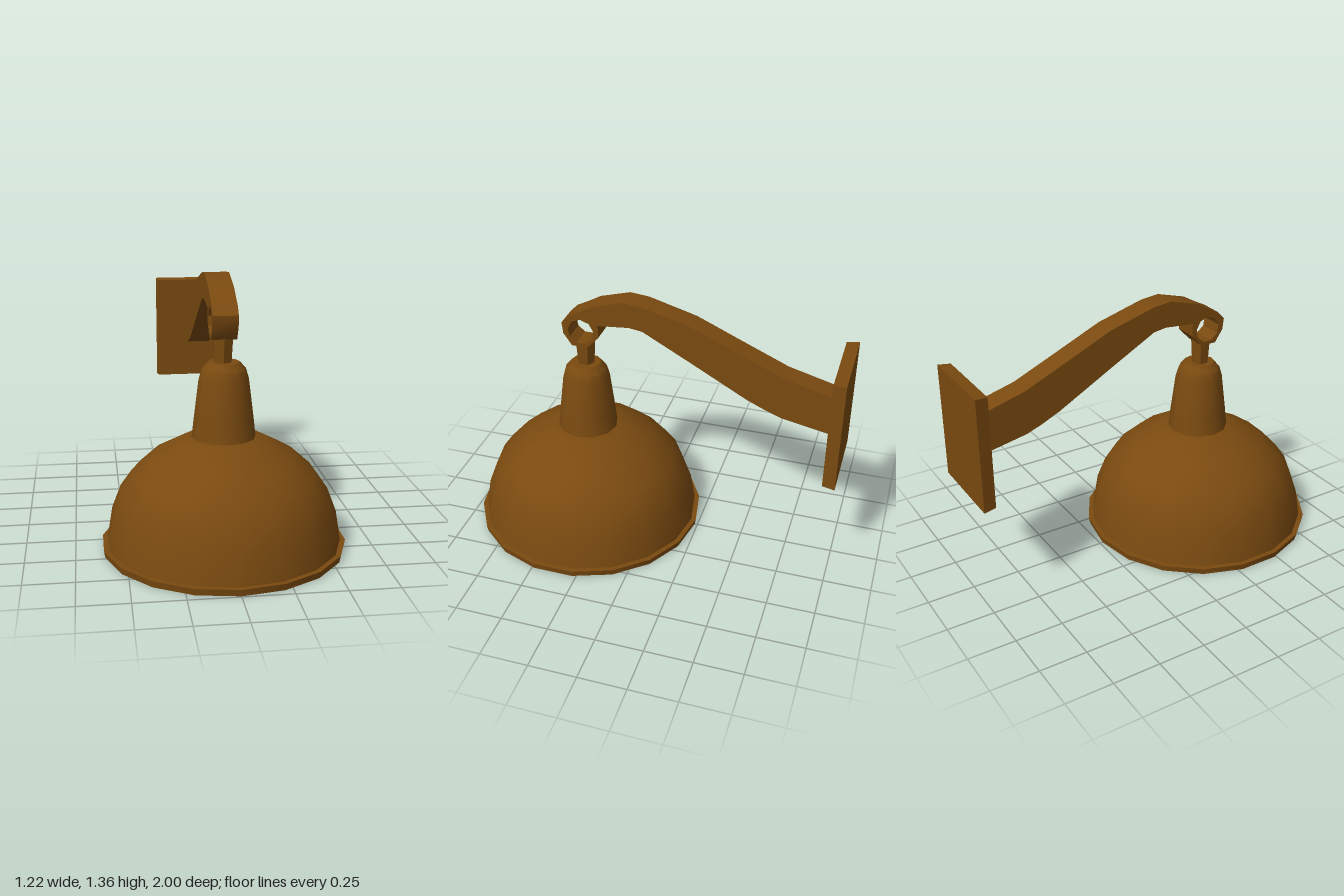
import * as THREE from 'three';
import { toCreasedNormals } from 'three/addons/utils/BufferGeometryUtils.js';

const LAMP_Z = 0.38;

export function createModel() {
  const group = new THREE.Group();
  const brown = new THREE.MeshStandardMaterial({ color: 0x7a4a10, side: THREE.DoubleSide });
  const grey = new THREE.MeshStandardMaterial({ color: 0xcccccc });
  const points = (list) => list.map(([x, y]) => new THREE.Vector2(x, y));

  const add = (name, geometry, material = brown) => {
    const mesh = new THREE.Mesh(geometry, material);
    mesh.name = name;
    group.add(mesh);
    return mesh;
  };
  const lathe = (name, profile, sides, material = brown, crease = 0.6) => {
    const geometry = new THREE.LatheGeometry(points(profile), sides);
    add(name, toCreasedNormals(geometry, crease), material).position.z = LAMP_Z;
  };

  // Wall plate, its front face a little smaller than its back
  const plate = new THREE.BoxGeometry(0.45, 0.6, 0.065);
  const pos = plate.attributes.position;
  for (let i = 0; i < pos.count; i++) {
    if (pos.getZ(i) > 0) pos.setXY(i, pos.getX(i) * 0.96, pos.getY(i) * 0.98);
  }
  plate.computeVertexNormals();
  add('wallPlate', plate).position.set(-0.005, 0.875, -0.9675);

  // Curved arm ending in a ring, drawn in side profile as (z, y)
  const armShape = new THREE.Shape(points([
    [-0.94, 0.79], [-0.68, 0.84], [-0.6, 0.87], [-0.5, 0.915], [-0.2, 1.08],
    [0.05, 1.215], [0.12, 1.225], [0.285, 1.21],
    [0.285, 1.14], [0.345, 1.075], [0.43, 1.075], [0.475, 1.14], [0.482, 1.2],
    [0.44, 1.245], [0.38, 1.275], [0.31, 1.315], [0.15, 1.36], [0.05, 1.35],
    [-0.2, 1.28], [-0.45, 1.17], [-0.68, 1.07], [-0.94, 1.0],
  ]));
  const hole = [];
  for (let i = 0; i < 9; i++) {
    const a = -i / 9 * Math.PI * 2 + Math.PI / 2;
    hole.push([LAMP_Z + 0.07 * Math.cos(a), 1.16 + 0.07 * Math.sin(a)]);
  }
  armShape.holes.push(new THREE.Path(points(hole)));
  const arm = new THREE.ExtrudeGeometry(armShape, { depth: 0.126, bevelEnabled: false });
  arm.translate(0, 0, -0.063).rotateY(-Math.PI / 2);
  add('armWithRing', toCreasedNormals(arm, 0.6)).position.x = -0.005;

  // Stem between the ring and the socket cover
  const stem = new THREE.CylinderGeometry(0.055, 0.045, 0.15, 6);
  add('stem', toCreasedNormals(stem, 0.6)).position.set(-0.005, 1.015, LAMP_Z);

  // Tapered socket cover
  lathe('socketCover', [
    [0.162, 0.565], [0.15, 0.67], [0.125, 0.87], [0.11, 0.92], [0.08, 0.955], [0, 0.955],
  ], 12);

  // Domed shade
  lathe('shade', [
    [0.598, 0.01], [0.594, 0.035], [0.568, 0.19], [0.522, 0.31], [0.465, 0.39],
    [0.36, 0.485], [0.2, 0.57], [0.12, 0.582], [0, 0.582],
  ], 18);

  // Flat rim lip around the shade opening
  lathe('shadeRim', [
    [0.585, 0.034], [0.59, 0], [0.614, 0], [0.62, 0.034], [0.585, 0.034],
  ], 18);

  // Bulb with a neck reaching up into the socket
  const bulb = [];
  for (let i = 0; i <= 10; i++) {
    const a = i / 10 * 2.4;
    bulb.push([0.18 * Math.sin(a), 0.345 - 0.18 * Math.cos(a)]);
  }
  bulb.push([0.09, 0.52], [0.09, 0.58]);
  lathe('bulb', bulb, 20, grey, 1);

  return group;
}
